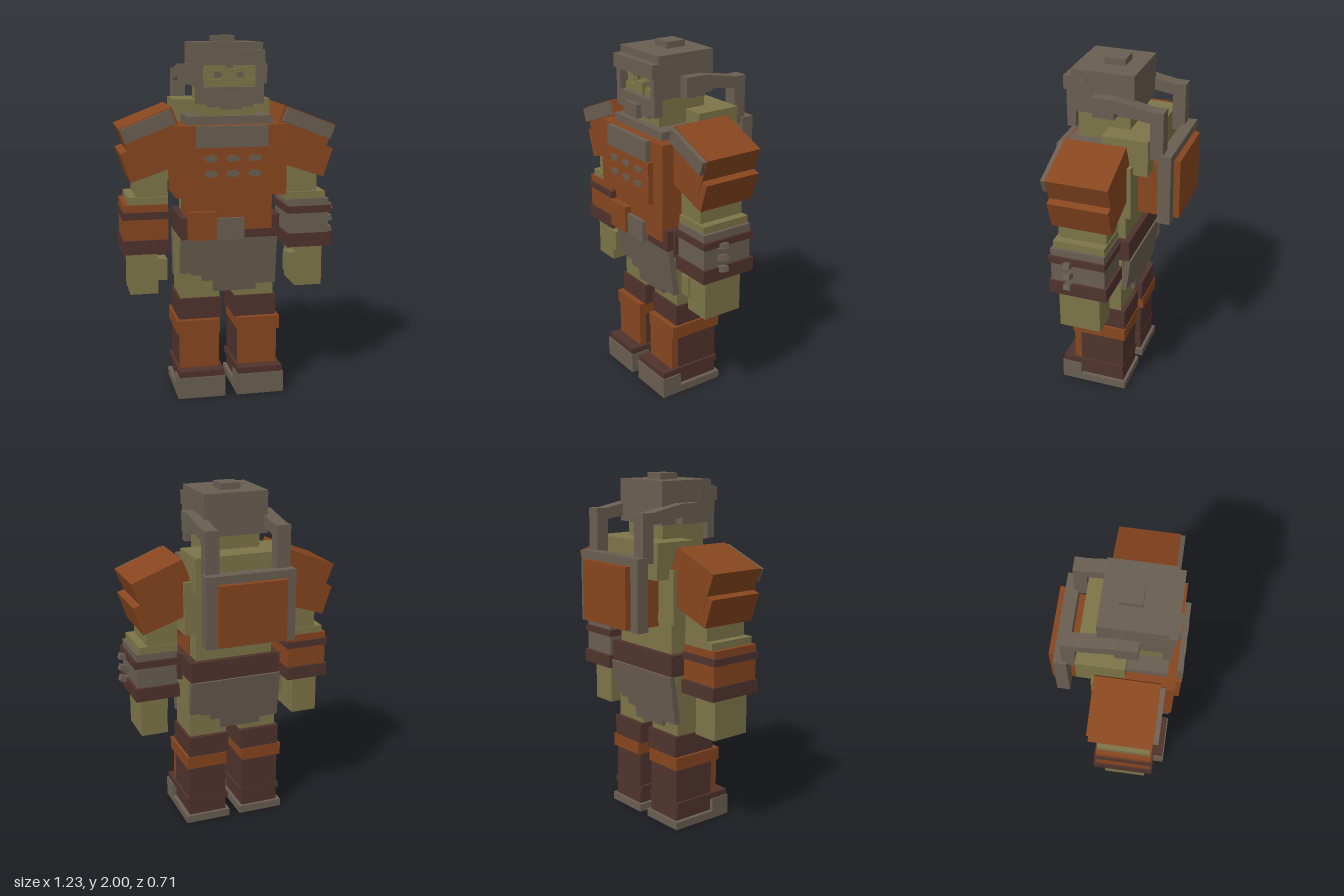
import * as THREE from 'three';

const mat = (name, color) => {
  const m = new THREE.MeshStandardMaterial({ color });
  m.name = name;
  return m;
};

export function createModel() {
  const orange = mat('rust orange', 0x87461f);
  const grey = mat('iron grey', 0x6a5e51);
  const olive = mat('olive skin', 0x7d7548);
  const brown = mat('dark leather', 0x50332d);

  const model = new THREE.Group();
  model.name = 'armouredFighter';
  model.position.x = -0.018; // the claws push the body off centre

  const add = (name, geometry, material) => {
    const mesh = new THREE.Mesh(geometry, material);
    mesh.name = name;
    model.add(mesh);
    return mesh;
  };
  // Box given by its limits on each axis
  const box = (name, material, x0, x1, y0, y1, z0, z1) => {
    const mesh = add(name, new THREE.BoxGeometry(x1 - x0, y1 - y0, z1 - z0), material);
    mesh.position.set((x0 + x1) / 2, (y0 + y1) / 2, (z0 + z1) / 2);
    return mesh;
  };
  // Box centred on the middle plane
  const mid = (name, material, half, ...rest) => box(name, material, -half, half, ...rest);
  // Box repeated on both sides, given by its distance from the middle plane
  const pair = (name, material, x0, x1, ...rest) => {
    box(name + 'Left', material, x0, x1, ...rest);
    box(name + 'Right', material, -x1, -x0, ...rest);
  };
  // Tilted box repeated on both sides
  const tiltedPair = (name, material, w, h, x, y, z0, z1, angle) => {
    for (const s of [1, -1]) {
      const b = box(name + (s > 0 ? 'Left' : 'Right'), material, -w / 2, w / 2, y - h / 2, y + h / 2, z0, z1);
      b.position.x = s * x;
      b.rotation.z = -s * angle;
    }
  };
  const shapeOf = pts => new THREE.Shape(pts.map(p => new THREE.Vector2(...p)));

  // Boots and legs
  pair('sole', grey, 0.033, 0.302, 0, 0.045, -0.077, 0.32);
  pair('toeCap', grey, 0.033, 0.302, 0.045, 0.12, 0.2, 0.32);
  pair('ankleStrap', brown, 0.038, 0.294, 0.12, 0.155, -0.062, 0.313);
  pair('boot', brown, 0.053, 0.279, 0.045, 0.36, -0.06, 0.203);
  pair('shinGuard', orange, 0.057, 0.277, 0.155, 0.39, 0.19, 0.245);
  pair('kneeBand', orange, 0.052, 0.294, 0.355, 0.43, -0.074, 0.248);
  pair('kneeWrap', brown, 0.038, 0.279, 0.43, 0.55, -0.07, 0.214);
  pair('thigh', olive, 0.043, 0.266, 0.55, 0.72, -0.045, 0.2);
  mid('hips', olive, 0.266, 0.7, 0.9, -0.055, 0.215);

  // Ragged loincloth, front and back
  const rag = new THREE.ExtrudeGeometry(shapeOf([
    [-0.272, 0], [0.272, 0], [0.272, -0.28], [0.16, -0.28], [0.16, -0.315], [-0.085, -0.315],
    [-0.085, -0.25], [-0.15, -0.25], [-0.15, -0.215], [-0.21, -0.215], [-0.21, -0.2], [-0.272, -0.2],
  ]), { depth: 0.035, bevelEnabled: false });
  rag.translate(0, 0, -0.035).rotateX(0.13);
  add('frontLoincloth', rag, grey).position.set(0, 0.9, 0.262);
  const back = add('backLoincloth', rag, grey);
  back.position.set(0, 0.9, -0.103);
  back.rotation.y = Math.PI;

  // Belt and pouches
  mid('belt', brown, 0.27, 0.9, 1.02, -0.093, 0.265);
  box('buckle', grey, -0.08, 0.075, 0.9, 1.02, 0.25, 0.3);
  box('beltPouch', orange, -0.235, -0.08, 0.905, 1.06, 0.25, 0.316);
  box('sidePouch', brown, 0.23, 0.292, 0.866, 1.02, 0.08, 0.23);

  // Torso
  mid('waist', olive, 0.23, 0.9, 1.25, -0.06, 0.2);
  mid('waistArmour', orange, 0.235, 0.95, 1.16, 0.04, 0.278);
  mid('lowerBack', olive, 0.31, 1.2, 1.5, -0.115, 0.04);
  mid('upperBack', olive, 0.272, 1.45, 1.65, -0.197, 0.06);
  mid('chestArmour', orange, 0.305, 1.145, 1.53, 0.04, 0.32);
  mid('chestPlate', orange, 0.216, 1.18, 1.415, 0.32, 0.35);
  mid('breastPlate', grey, 0.194, 1.415, 1.53, 0.32, 0.35);
  mid('collar', grey, 0.235, 1.53, 1.575, 0.03, 0.273);
  // Six-sided studs on the chest
  for (const x of [-0.12, 0, 0.12]) {
    for (const y of [1.275, 1.357]) {
      const stud = add('chestStud', new THREE.CylinderGeometry(0.04, 0.04, 0.009, 6).rotateY(Math.PI / 6).rotateX(Math.PI / 2), grey);
      stud.scale.y = 0.5;
      stud.position.set(x, y, 0.351);
      stud.rotation.z = 0;
    }
  }

  // Back pack with its straps up to the helmet
  mid('packBody', orange, 0.18, 1.18, 1.49, -0.25, -0.11);
  mid('packFrame', grey, 0.258, 1.175, 1.575, -0.318, -0.247);
  mid('packPanel', orange, 0.195, 1.19, 1.53, -0.352, -0.318);
  const strap = new THREE.ExtrudeGeometry(shapeOf([
    [0.12, 1.845], [0, 1.845], [-0.2, 1.808], [-0.27, 1.808], [-0.27, 1.54], [-0.198, 1.54],
    [-0.198, 1.745], [0, 1.772], [0, 1.735], [0.12, 1.735],
  ]), { depth: 0.078, bevelEnabled: false });
  strap.rotateY(-Math.PI / 2);
  add('strapLeft', strap, grey).position.x = 0.243;
  add('strapRight', strap, grey).position.x = -0.165;

  // Head and face
  mid('head', olive, 0.15, 1.57, 1.87, -0.06, 0.235);
  mid('nose', olive, 0.038, 1.73, 1.8, 0.23, 0.262);
  pair('cheek', olive, 0.045, 0.145, 1.73, 1.77, 0.23, 0.25);
  pair('eye', grey, 0.035, 0.08, 1.78, 1.81, 0.232, 0.239);
  tiltedPair('eyebrow', olive, 0.11, 0.022, 0.075, 1.822, 0.23, 0.254, -0.2);

  // Helmet
  mid('helmet', grey, 0.184, 1.73, 1.965, -0.093, 0.18);
  mid('helmetFront', grey, 0.184, 1.845, 1.965, 0.18, 0.257);
  mid('helmetBrow', grey, 0.187, 1.848, 1.925, 0.17, 0.3);
  mid('noseGuard', grey, 0.016, 1.832, 1.848, 0.24, 0.285);
  box('helmetKnob', grey, -0.058, 0.057, 1.965, 2, 0, 0.115);
  pair('cheekGuard', grey, 0.148, 0.184, 1.73, 1.85, 0.18, 0.285);
  pair('jawGuard', grey, 0.12, 0.184, 1.64, 1.73, 0.235, 0.285);
  mid('chinGuard', grey, 0.122, 1.625, 1.73, 0.235, 0.285);
  mid('mouthPlate', grey, 0.058, 1.615, 1.69, 0.28, 0.316);

  // Shoulder armour
  tiltedPair('upperPauldron', orange, 0.307, 0.22, 0.416, 1.468, -0.094, 0.248, 0.37);
  tiltedPair('lowerPauldron', orange, 0.3, 0.166, 0.423, 1.35, -0.092, 0.245, 0.325);
  tiltedPair('pauldronPlate', grey, 0.29, 0.08, 0.445, 1.526, 0.235, 0.273, 0.37);

  // Arms and hands
  pair('upperArm', olive, 0.335, 0.508, 1.09, 1.46, -0.05, 0.22);
  pair('elbow', olive, 0.337, 0.555, 1.09, 1.14, -0.055, 0.235);
  box('bracerLeft', grey, 0.345, 0.573, 0.86, 1.1, -0.06, 0.245);
  box('bracerRight', orange, -0.579, -0.337, 0.86, 1.1, -0.06, 0.245);
  pair('upperBracerBand', brown, 0.334, 0.588, 1.02, 1.06, -0.067, 0.252);
  pair('lowerBracerBand', brown, 0.334, 0.588, 0.828, 0.905, -0.075, 0.256);
  pair('hand', olive, 0.393, 0.548, 0.592, 0.84, -0.02, 0.215);
  pair('thumb', olive, 0.343, 0.41, 0.67, 0.79, 0.13, 0.225);

  // Claws on the left bracer
  for (const y of [0.895, 0.96, 1.027]) {
    const claw = box('claw', grey, 0.555, 0.625, y - 0.016, y + 0.016, 0.12, 0.157);
    claw.rotation.z = 0.3;
  }
  return model;
}
